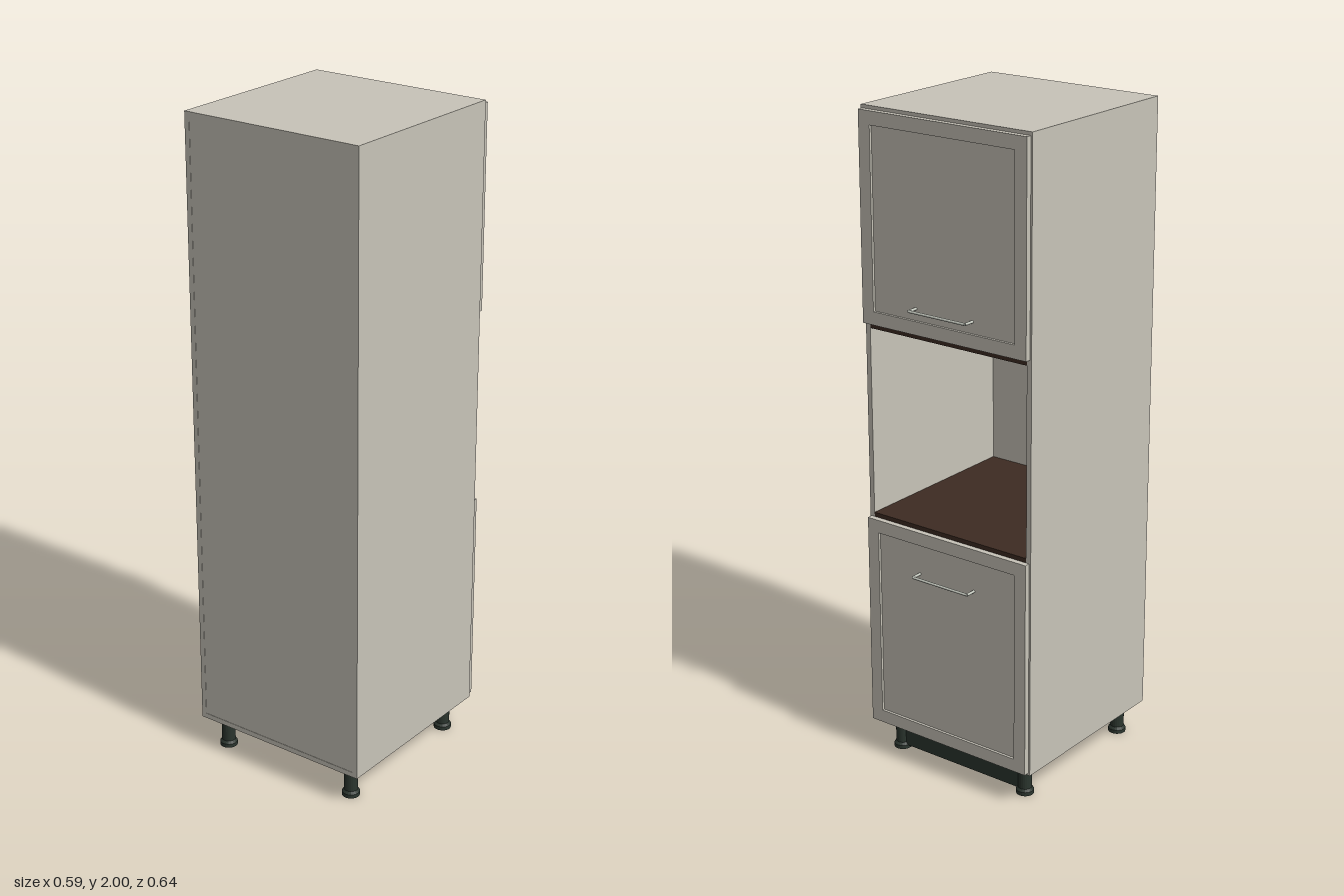
import * as THREE from 'three';

const material = (name, color) => {
  const m = new THREE.MeshStandardMaterial({ color });
  m.name = name;
  return m;
};

export function createModel() {
  const grey = material('warm grey laminate', 0xc8c4b9);
  const metal = material('handle metal', 0xc4c8be);
  const brown = material('dark brown board', 0x3d2b22);
  const dark = material('dark green plastic', 0x2b352e);

  const model = new THREE.Group();
  model.name = 'tallOvenCabinet';

  // Box given by its lower and upper limits on each axis
  const box = (parent, name, mat, [x0, x1], [y0, y1], [z0, z1]) => {
    const mesh = new THREE.Mesh(new THREE.BoxGeometry(x1 - x0, y1 - y0, z1 - z0), mat);
    mesh.position.set((x0 + x1) / 2, (y0 + y1) / 2, (z0 + z1) / 2);
    mesh.name = name;
    parent.add(mesh);
    return mesh;
  };

  // Carcass
  const W = 0.295, T = 0.016, depth = [-0.273, 0.317];
  const bottom = 0.1, top = 2;
  box(model, 'topPanel', grey, [-W, W], [top - T, top], depth);
  box(model, 'bottomPanel', grey, [-W, W], [bottom, bottom + T], depth);
  box(model, 'leftSide', grey, [W - T, W], [bottom + T, top - T], depth);
  box(model, 'rightSide', grey, [-W, -W + T], [bottom + T, top - T], depth);
  box(model, 'closedPanel', grey, [-W + T, W - T], [bottom + T, top - T], [0.301, 0.316]);

  // Boards above and below the open niche
  const inner = [-W + T, W - T];
  box(model, 'nicheFloor', brown, inner, [0.77, 0.787], [-0.273, 0.301]);
  box(model, 'nicheCeiling', brown, inner, [1.357, 1.374], [-0.273, 0.301]);

  // Framed door with a recessed panel and a bar handle
  const addDoor = (name, y0, y1, handleY) => {
    const door = new THREE.Group();
    door.name = name;
    const z = [-0.291, -0.2735], X = 0.29, F = 0.04;
    for (const s of [-1, 1]) {
      const xs = s < 0 ? [-X, -X + F] : [X - F, X];
      box(door, 'stile', grey, xs, [y0, y1], z);
    }
    box(door, 'topRail', grey, [-X + F, X - F], [y1 - F, y1], z);
    box(door, 'bottomRail', grey, [-X + F, X - F], [y0, y0 + F], z);
    box(door, 'doorPanel', grey, [-X + F, X - F], [y0 + F, y1 - F], [-0.283, -0.2735]);

    const handle = new THREE.Group();
    handle.name = 'handle';
    const bar = new THREE.Mesh(new THREE.CylinderGeometry(0.004, 0.004, 0.2, 12), metal);
    bar.name = 'handleBar';
    bar.rotation.z = Math.PI / 2;
    bar.position.set(0, handleY, -0.316);
    handle.add(bar);
    for (const s of [-1, 1]) {
      const post = new THREE.Mesh(new THREE.CylinderGeometry(0.004, 0.004, 0.034, 12), metal);
      post.name = 'handlePost';
      post.rotation.x = Math.PI / 2;
      post.position.set(s * 0.1, handleY, -0.299);
      handle.add(post);
    }
    door.add(handle);
    model.add(door);
  };
  addDoor('upperDoor', 1.375, 1.99, 1.45);
  addDoor('lowerDoor', 0.108, 0.774, 0.64);

  // Adjustable legs with a wider foot and collar
  const legProfile = [[0, 0], [0.027, 0], [0.027, 0.012], [0.021, 0.02], [0.021, 0.086], [0.024, 0.088], [0.024, 0.1], [0, 0.1]]
    .map(([r, y]) => new THREE.Vector2(r, y));
  const legGeometry = new THREE.LatheGeometry(legProfile, 20).toNonIndexed();
  legGeometry.computeVertexNormals();
  for (const x of [-0.235, 0.235]) {
    for (const z of [-0.215, 0.265]) {
      const leg = new THREE.Mesh(legGeometry, dark);
      leg.name = 'leg';
      leg.position.set(x, 0, z);
      model.add(leg);
    }
  }

  // Plinth board between the legs on the door side
  box(model, 'plinth', dark, [-0.235, 0.235], [0.012, 0.09], [-0.223, -0.207]);

  return model;
}
